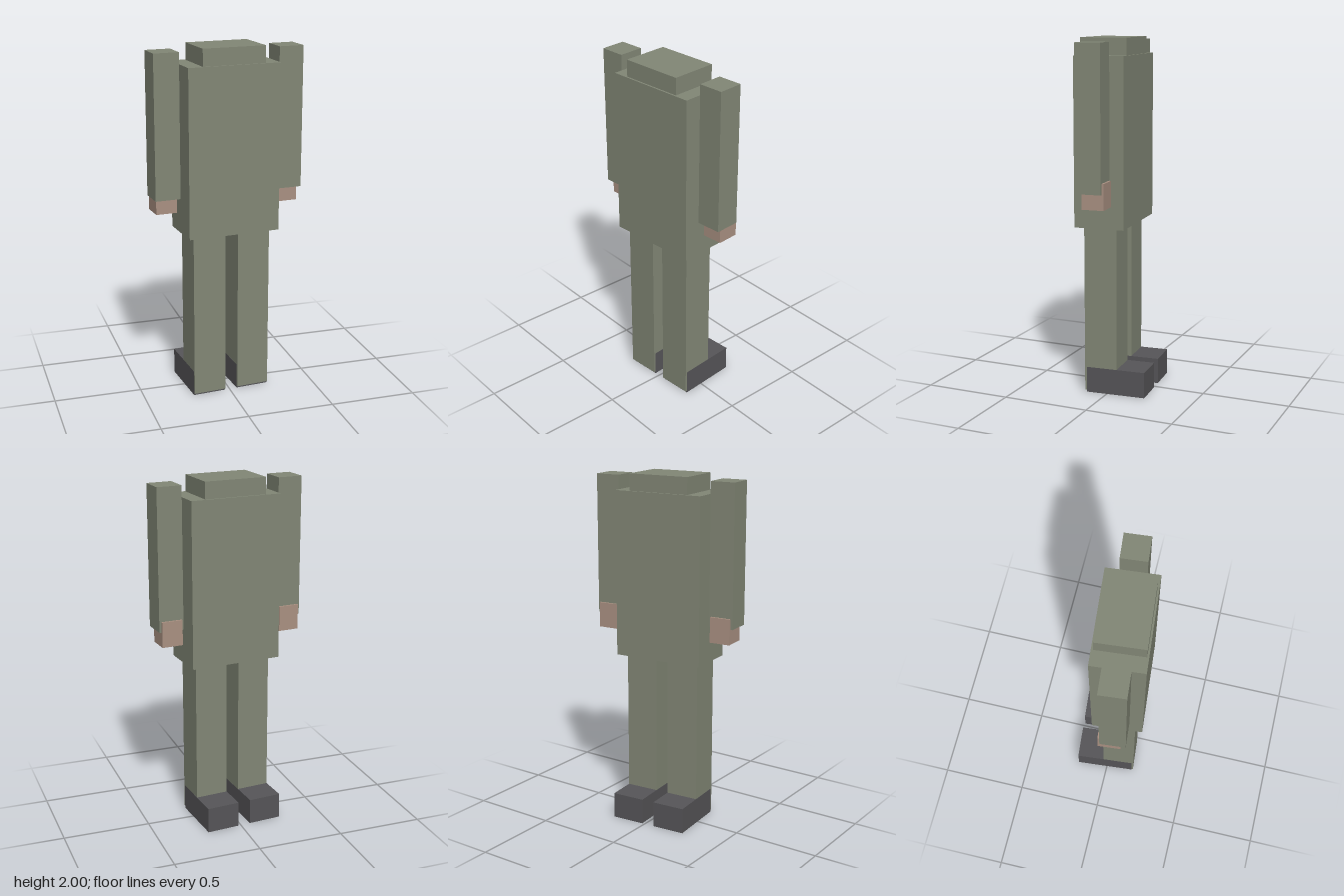
import * as THREE from 'three';

export function createModel() {
  const make = (name, color) => {
    const m = new THREE.MeshStandardMaterial({ color });
    m.name = name;
    return m;
  };
  const cloth = make('sage cloth', 0x828776);
  const skin = make('skin', 0xaa9182);
  const leather = make('dark leather', 0x565558);

  // The figure is turned slightly about its upright axis
  const body = new THREE.Group();
  body.name = 'figure';
  body.position.z = 0.05;
  body.rotation.y = 0.086;

  // Box given by its width, depth, bottom, top and centre in plan
  const block = (name, material, w, d, y0, y1, x, z) => {
    const mesh = new THREE.Mesh(new THREE.BoxGeometry(w, y1 - y0, d), material);
    mesh.name = name;
    mesh.position.set(x, (y0 + y1) / 2, z);
    body.add(mesh);
  };

  // Trunk and collar
  block('torso', cloth, 0.532, 0.287, 0.962, 1.905, 0, 0);
  block('collar', cloth, 0.361, 0.265, 1.905, 2, 0, 0.001);

  // Limbs, mirrored left and right
  for (const [side, s] of [['left', 1], ['right', -1]]) {
    block(side + 'Arm', cloth, 0.143, 0.144, 1.18, 1.98, s * 0.362, 0);
    block(side + 'Hand', skin, 0.12, 0.125, 1.095, 1.24, s * 0.361, -0.0215);
    block(side + 'Leg', cloth, 0.19, 0.19, 0.012, 0.962, s * 0.1325, 0.005);
    block(side + 'Shoe', leather, 0.191, 0.343, 0, 0.148, s * 0.1325, -0.0815);
  }

  const model = new THREE.Group();
  model.name = 'model';
  model.add(body);
  return model;
}
